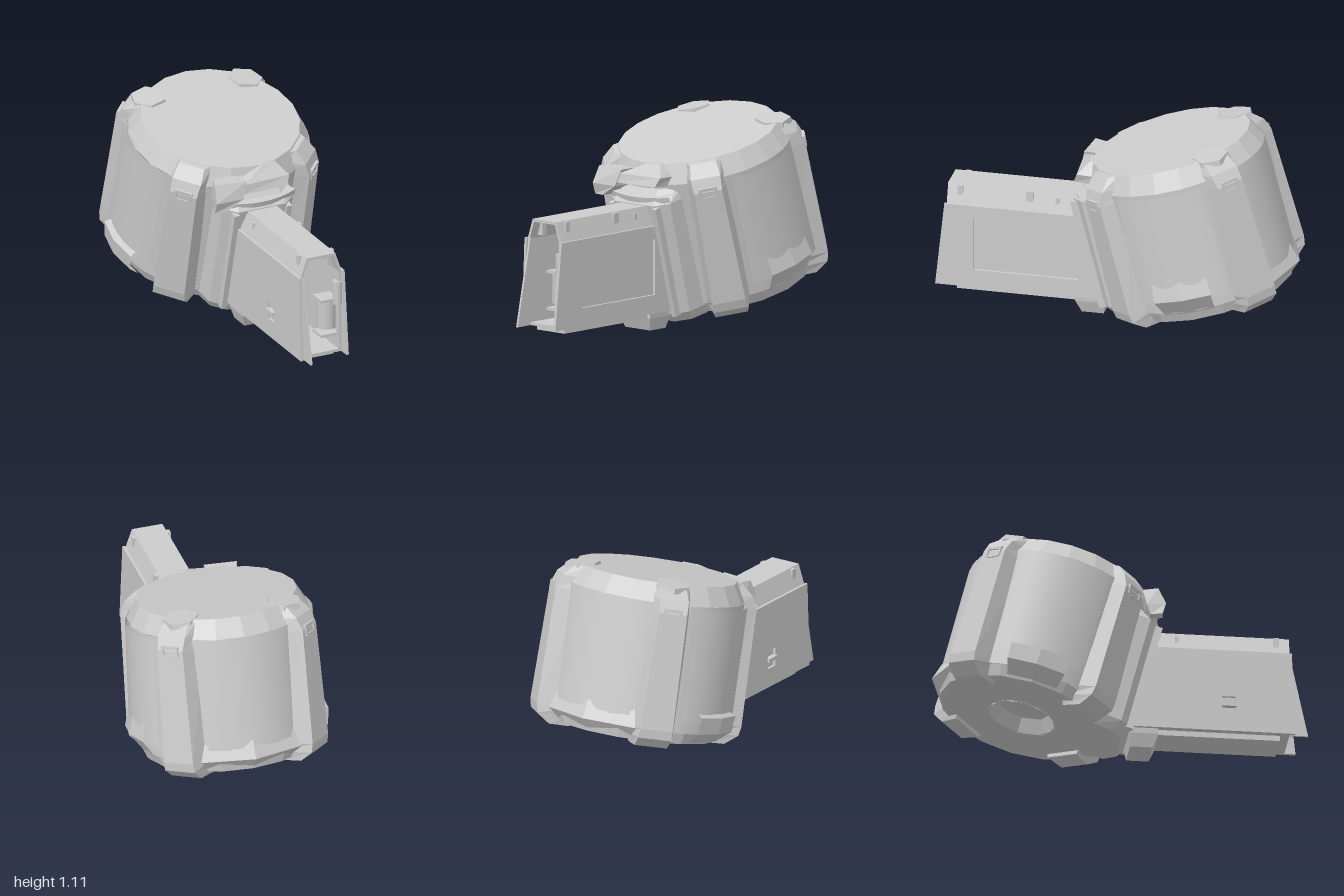
import * as THREE from 'three';

const flat = new THREE.MeshStandardMaterial({ color: 0xcccccc, flatShading: true, side: THREE.DoubleSide });
const smooth = new THREE.MeshStandardMaterial({ color: 0xcccccc, side: THREE.DoubleSide });

function add(parent, name, geometry, material = flat, x = 0, y = 0, z = 0) {
  const mesh = new THREE.Mesh(geometry, material);
  mesh.name = name;
  mesh.position.set(x, y, z);
  parent.add(mesh);
  return mesh;
}

const box = (w, h, d) => new THREE.BoxGeometry(w, h, d);
const lathe = (pts, n, start, arc) => new THREE.LatheGeometry(pts.map(p => new THREE.Vector2(...p)), n, start, arc);

// Solid through stacked sections: each is { y, ring: [[x, z], ...] }, listed upwards, counterclockwise from above
function loft(sections) {
  const pos = [], idx = [], n = sections[0].ring.length;
  for (const s of sections) for (const [x, z] of s.ring) pos.push(x, s.y, z);
  for (let k = 0; k < sections.length - 1; k++) {
    for (let i = 0; i < n; i++) {
      const a = k * n + i, b = k * n + (i + 1) % n;
      idx.push(a, b, b + n, a, b + n, a + n);
    }
  }
  const top = (sections.length - 1) * n;
  for (let i = 1; i < n - 1; i++) idx.push(0, i + 1, i, top, top + i, top + i + 1);
  const g = new THREE.BufferGeometry();
  g.setAttribute('position', new THREE.Float32BufferAttribute(pos, 3));
  g.setIndex(idx);
  g.computeVertexNormals();
  return g;
}

// Flat outline, with an optional hole, thickened by depth
function extrude(points, depth, hole) {
  const s = new THREE.Shape(points.map(p => new THREE.Vector2(...p)));
  if (hole) s.holes.push(new THREE.Path(hole.map(p => new THREE.Vector2(...p))));
  return new THREE.ExtrudeGeometry(s, { depth, bevelEnabled: false });
}

// Tapered strap running down the drum and hooking under its base
function strapGeometry() {
  const rows = [ // height, inner radius, outer radius, half face width, half base width
    [-0.872, 0.37, 0.48, 0.088, 0.1],
    [-0.82, 0.37, 0.55, 0.09, 0.118],
    [-0.77, 0.40, 0.56, 0.088, 0.13],
    [-0.14, 0.40, 0.55, 0.075, 0.125],
    [-0.07, 0.40, 0.52, 0.08, 0.115],
    [-0.008, 0.40, 0.455, 0.07, 0.1],
  ];
  return loft(rows.map(([y, ri, ro, wf, wb]) => ({ y, ring: [[-wf, ro], [wf, ro], [wb, ri], [-wb, ri]] })));
}

function createDrum() {
  const drum = new THREE.Group();
  drum.name = 'drum';
  drum.position.set(0, 1.0, -0.3);
  drum.rotation.x = THREE.MathUtils.degToRad(15);

  add(drum, 'drumWall', lathe([[0.475, -0.79], [0.485, -0.1]], 48), smooth);
  add(drum, 'drumTop', lathe([[0.485, -0.1], [0.43, 0], [0, 0]], 20));
  // Underside ring with a recessed hub
  add(drum, 'drumBase', lathe([[0.18, -0.85], [0.45, -0.85], [0.475, -0.79]], 16));
  add(drum, 'hubRecess', lathe([[0, -0.78], [0.145, -0.78], [0.19, -0.852]], 8));

  // Raised wall panels between the straps: quarter turn, top radius, bottom radius
  const panels = [['leftPanel', 1, 0.495, 0.52], ['backPanel', 2, 0.488, 0.482], ['rightPanel', 3, 0.505, 0.51]];
  for (const [name, quarter, rTop, rBottom] of panels) {
    add(drum, name, new THREE.CylinderGeometry(rTop, rBottom, 0.6, 16, 1, true, quarter * Math.PI / 2 - 0.5, 1),
      smooth, 0, -0.42);
  }
  // Lugs along the lower edge: quarter turn, half arc, profile
  const lugs = [
    ['leftLug', 1, 0.3, [[0.47, -0.8], [0.54, -0.7], [0.51, -0.58]]],
    ['backLug', 2, 0.62, [[0.46, -0.83], [0.515, -0.78], [0.485, -0.68]]],
    ['rightLug', 3, 0.3, [[0.46, -0.84], [0.535, -0.78], [0.545, -0.69], [0.5, -0.67]]],
  ];
  for (const [name, quarter, arc, profile] of lugs) {
    add(drum, name, lathe(profile, 2, quarter * Math.PI / 2 - arc, 2 * arc));
  }

  // Four straps with buckles; the rear pair carries hexagonal caps
  const strap = strapGeometry();
  for (let i = 0; i < 4; i++) {
    const g = new THREE.Group();
    g.name = 'strap' + (i + 1);
    g.rotation.y = Math.PI / 4 + i * Math.PI / 2;
    add(g, 'strapBand', strap);
    if (i === 1 || i === 2) {
      const cap = add(g, 'strapCap', new THREE.CylinderGeometry(0.095, 0.1, 0.03, 6), flat, 0, -0.012, 0.405);
      cap.rotation.x = 0.15;
    }
    add(g, 'buckleTop', box(0.1, 0.016, 0.02), flat, 0, -0.125, 0.545);
    add(g, 'buckleBar', box(0.07, 0.014, 0.02), flat, 0, -0.175, 0.547);
    for (const s of [-1, 1]) add(g, 'buckleSide', box(0.014, 0.05, 0.02), flat, s * 0.042, -0.15, 0.547);
    drum.add(g);
  }

  // Chamfered neck joining drum and feed box
  const neck = (w, r) => [[-w, r], [w, r], [w + 0.07, r - 0.06], [w + 0.09, 0.38], [-w - 0.09, 0.38], [-w - 0.07, r - 0.06]];
  add(drum, 'neck', loft([
    { y: -0.86, ring: neck(0.11, 0.54) },
    { y: -0.8, ring: neck(0.14, 0.575) },
    { y: -0.18, ring: neck(0.14, 0.57) },
    { y: -0.12, ring: neck(0.12, 0.49) },
  ]));
  for (const s of [-1, 1]) add(drum, 'neckRib', box(0.03, 0.62, 0.04), flat, s * 0.155, -0.5, 0.565);
  return drum;
}

function createFeedBox() {
  const feed = new THREE.Group();
  feed.name = 'feedBox';

  // Hollow shell, open at the front
  add(feed, 'feedShell', extrude(
    [[-0.12, 0.1], [0.12, 0.1], [0.12, 0.57], [0.085, 0.675], [-0.085, 0.675], [-0.12, 0.57]], 0.82,
    [[-0.105, 0.115], [-0.105, 0.565], [-0.075, 0.66], [0.075, 0.66], [0.105, 0.565], [0.105, 0.115]]),
  flat, 0, 0, 0.08);

  // Side plates: the left one frames a sunken rectangle, the right one is plain with a small slot
  const plate = (front, hole) => extrude([[0.02, 0.1], [front, 0.1], [0.91, 0.57], [0.12, 0.57]], 0.015, hole);
  const sides = [
    ['leftPlate', 0.135, plate(0.96, [[0.18, 0.2], [0.18, 0.5], [0.75, 0.5], [0.75, 0.2]])],
    ['rightPlate', -0.12, plate(0.93, [[0.54, 0.2], [0.54, 0.3], [0.61, 0.3], [0.61, 0.2]])],
    // Pointed flap at the lower right corner of the mouth
    ['cornerFlap', -0.1, extrude([[0.88, 0.1], [1.0, 0.1], [0.9, 0.57], [0.88, 0.57]], 0.012)],
  ];
  for (const [name, x, geometry] of sides) add(feed, name, geometry, flat, x).rotation.y = -Math.PI / 2;
  add(feed, 'slotBar', box(0.03, 0.02, 0.08), flat, -0.133, 0.25, 0.575);

  add(feed, 'floorRail', box(0.2, 0.03, 0.76), flat, 0, 0.085, 0.47);
  add(feed, 'innerWall', box(0.21, 0.54, 0.02), flat, 0, 0.38, 0.3);

  // Latch parts inside the left edge of the mouth
  add(feed, 'latchPin', new THREE.CylinderGeometry(0.028, 0.028, 0.13, 10), smooth, 0.105, 0.44, 0.885);
  add(feed, 'latchPad', new THREE.CylinderGeometry(0.055, 0.055, 0.16, 10), smooth, 0.065, 0.31, 0.83);
  for (const y of [0.2, 0.4]) add(feed, 'latchShelf', box(0.11, 0.015, 0.1), flat, 0.06, y, 0.84);

  // Small ribs on the top edge
  for (const [x, z, d] of [[0.085, 0.45, 0.04], [0.085, 0.83, 0.03], [-0.085, 0.83, 0.03]]) {
    add(feed, 'topRib', box(0.04, 0.09, d), flat, x, 0.625, z);
  }

  // Foot under the rear of the box
  const foot = (w, z0, z1) => [[-w, z1], [w, z1], [w, z0], [-w, z0]];
  add(feed, 'foot', loft([
    { y: 0, ring: foot(0.09, 0.05, 0.17) },
    { y: 0.07, ring: foot(0.115, 0.04, 0.2) },
    { y: 0.12, ring: foot(0.12, 0.02, 0.2) },
  ]));
  return feed;
}

// Release catch draped over the front shoulder
function createCatch() {
  const latch = new THREE.Group();
  latch.name = 'releaseCatch';
  add(latch, 'catchLever', loft([
    { y: 0.70, ring: [[-0.28, 0.2], [-0.22, 0.21], [-0.2, 0.14], [-0.26, 0.14]] },
    { y: 0.76, ring: [[-0.28, 0.22], [-0.12, 0.22], [-0.1, 0.12], [-0.26, 0.12]] },
    { y: 0.85, ring: [[-0.27, 0.18], [-0.09, 0.2], [-0.08, 0.08], [-0.24, 0.1]] },
  ]));
  add(latch, 'catchBridge', loft([
    { y: 0.78, ring: [[-0.12, 0.21], [0.15, 0.2], [0.17, 0.08], [-0.12, 0.08]] },
    { y: 0.83, ring: [[-0.1, 0.2], [0.17, 0.18], [0.18, 0.06], [-0.1, 0.08]] },
    { y: 0.89, ring: [[0.03, 0.13], [0.12, 0.12], [0.13, 0.04], [0.04, 0.05]] },
  ]));
  // Curved lip below the catch
  const lip = add(latch, 'catchLip', new THREE.CylinderGeometry(0.5, 0.5, 0.03, 8, 1, false, -0.45, 0.9), flat, 0, 0.83, -0.28);
  lip.rotation.x = 0.26;
  return latch;
}

export function createModel() {
  const model = new THREE.Group();
  model.name = 'drumMagazine';
  model.add(createDrum(), createFeedBox(), createCatch());
  return model;
}
